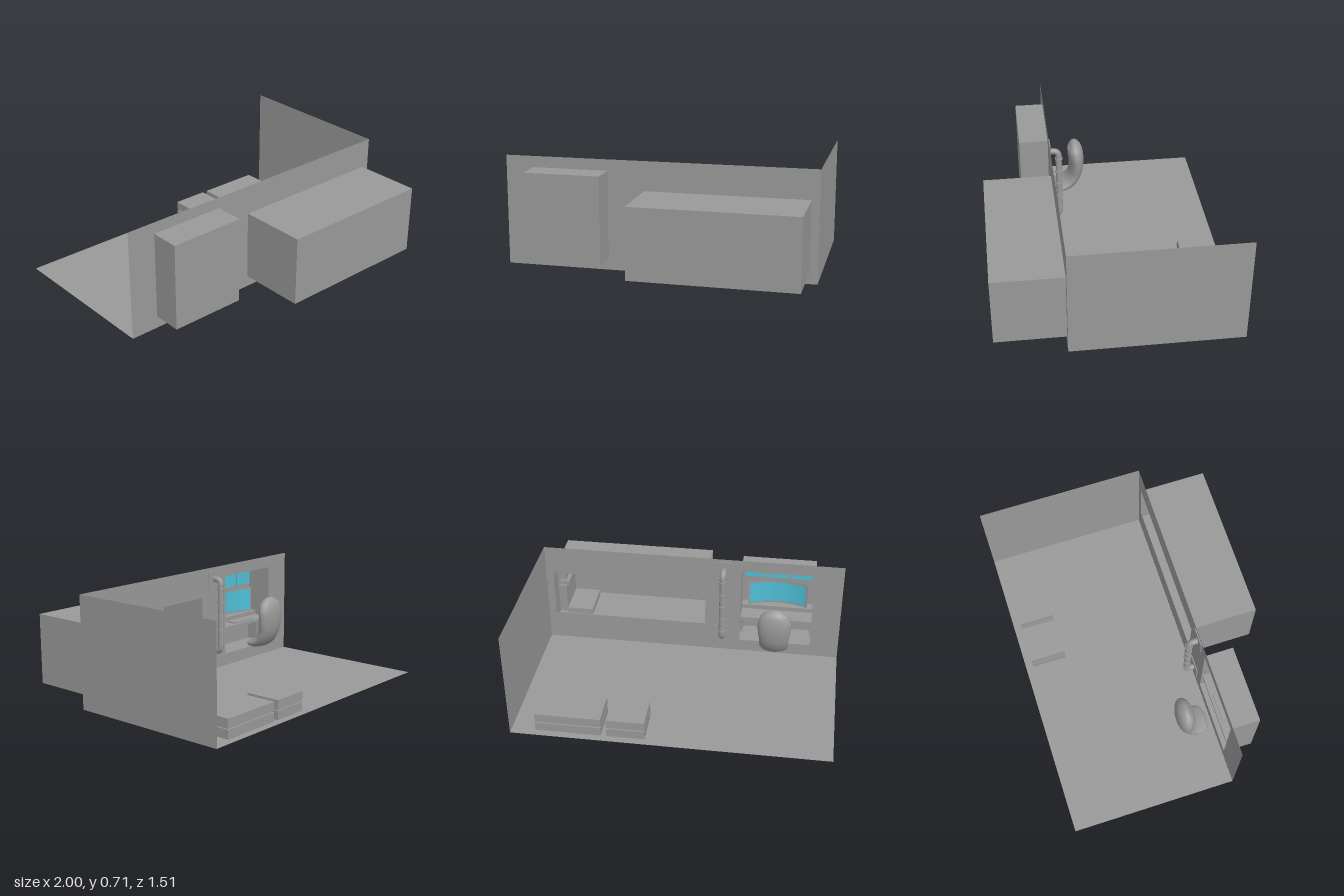
import * as THREE from 'three';

const grey = new THREE.MeshStandardMaterial({ color: 0x999999, side: THREE.DoubleSide });
grey.name = 'panel grey';
const cyan = new THREE.MeshStandardMaterial({ color: 0x4fc0d6, side: THREE.DoubleSide });
cyan.name = 'screen cyan';

export function createModel() {
  const root = new THREE.Group();
  root.name = 'cabin';

  const add = (name, geo, mat = grey, parent = root) => {
    const m = new THREE.Mesh(geo, mat);
    m.name = name;
    parent.add(m);
    return m;
  };
  const box = (name, x0, x1, y0, y1, z0, z1, mat = grey) =>
    add(name, new THREE.BoxGeometry(x1 - x0, y1 - y0, z1 - z0)
      .translate((x0 + x1) / 2, (y0 + y1) / 2, (z0 + z1) / 2), mat);
  const rect = (P, x0, x1, y0, y1) => {
    const p = new P();
    p.moveTo(x0, y0); p.lineTo(x1, y0); p.lineTo(x1, y1); p.lineTo(x0, y1); p.closePath();
    return p;
  };

  // Floor, side wall and front wall with two openings
  add('floor', new THREE.PlaneGeometry(2, 1.075).rotateX(-Math.PI / 2).translate(0, 0.002, -0.22));
  add('sideWall', new THREE.PlaneGeometry(1.075, 0.715).rotateY(-Math.PI / 2).translate(1, 0.3575, -0.22));
  const wall = rect(THREE.Shape, -1, 1, 0, 0.715);
  wall.holes.push(rect(THREE.Path, -0.09, 0.95, 0.2, 0.52), rect(THREE.Path, -0.81, -0.33, 0.085, 0.635));
  add('frontWall', new THREE.ShapeGeometry(wall).translate(0, 0, 0.318));

  // Alcoves: boxes open toward the room
  const alcove = (name, x0, x1, y0, y1, z0, z1) => {
    const g = new THREE.Group();
    g.name = name;
    root.add(g);
    const w = x1 - x0, h = y1 - y0, d = z1 - z0;
    const cx = (x0 + x1) / 2, cy = (y0 + y1) / 2, cz = (z0 + z1) / 2;
    add('alcoveBack', new THREE.PlaneGeometry(w, h).translate(cx, cy, z1), grey, g);
    for (const s of [-1, 1]) {
      add('alcoveSide', new THREE.PlaneGeometry(d, h).rotateY(s * Math.PI / 2)
        .translate(cx + s * w / 2, cy, cz), grey, g);
      add('alcoveCap', new THREE.PlaneGeometry(w, d).rotateX(-s * Math.PI / 2)
        .translate(cx, cy + s * h / 2, cz), grey, g);
    }
  };
  alcove('bedAlcove', -0.09, 0.95, 0.075, 0.525, 0.318, 0.755);
  alcove('deskAlcove', -0.815, -0.325, 0.08, 0.643, 0.318, 0.505);

  // Bed
  box('mattress', -0.085, 0.945, 0.08, 0.155, 0.325, 0.675);
  box('bedBackPanel', -0.085, 0.945, 0.08, 0.52, 0.675, 0.685);
  box('pillow', 0.71, 0.885, 0.155, 0.195, 0.39, 0.645);
  box('headboard', 0.89, 0.945, 0.155, 0.36, 0.41, 0.66);
  box('headShelf', 0.87, 0.945, 0.37, 0.4, 0.41, 0.66);
  box('headLocker', 0.89, 0.945, 0.41, 0.5, 0.41, 0.66);

  // Desk with keyboard and rear ledge
  box('deskTop', -0.81, -0.33, 0.25, 0.27, 0.325, 0.5);
  box('deskLedge', -0.81, -0.33, 0.27, 0.3, 0.44, 0.5);
  box('keyboard', -0.67, -0.47, 0.27, 0.279, 0.345, 0.42);
  for (const x of [-0.81, -0.34]) box('deskSupport', x, x + 0.01, 0.085, 0.25, 0.42, 0.5);

  // Curved main screen on a matching backing
  const R = 0.45, arc = 0.86;
  const curved = (r, h, a) => new THREE.CylinderGeometry(r, r, h, 24, 1, true, -a / 2, a)
    .translate(-0.57, 0.39, 0.488 - R);
  add('screenBacking', curved(R + 0.006, 0.18, arc + 0.05));
  add('mainScreen', curved(R, 0.15, arc), cyan);

  // Row of upper screens
  for (let i = -1; i <= 1; i++) {
    const x = -0.57 + i * 0.157;
    box('upperScreen', x - 0.07, x + 0.07, 0.5, 0.61, 0.488, 0.496, cyan);
  }

  // Seat: ellipses swept along a bent spine, [z, y, half width, half thickness]
  const spine = [
    [0.145, 0.465, 0.02, 0.012], [0.135, 0.455, 0.062, 0.035], [0.122, 0.425, 0.095, 0.05],
    [0.113, 0.37, 0.11, 0.053], [0.112, 0.3, 0.105, 0.05], [0.125, 0.23, 0.095, 0.047],
    [0.16, 0.175, 0.095, 0.045], [0.21, 0.148, 0.1, 0.036], [0.25, 0.142, 0.085, 0.026],
    [0.275, 0.142, 0.03, 0.01],
  ];
  const curve = new THREE.CatmullRomCurve3(spine.map(p => new THREE.Vector3(0, p[1], p[0])));
  const sizes = new THREE.CatmullRomCurve3(spine.map(p => new THREE.Vector3(p[2], p[3], 0)));
  const N = 36, S = 28, pos = [], idx = [];
  for (let i = 0; i <= N; i++) {
    const p = curve.getPoint(i / N), t = curve.getTangent(i / N), s = sizes.getPoint(i / N);
    const end = i === 0 || i === N ? 0 : 1;
    for (let j = 0; j < S; j++) {
      const a = j / S * Math.PI * 2, u = Math.sin(a) * s.y * end;
      pos.push(-0.57 + Math.cos(a) * s.x * end, p.y + t.z * u, p.z - t.y * u);
      if (i < N) {
        const k = i * S + j, l = i * S + (j + 1) % S;
        idx.push(k, l, k + S, l, l + S, k + S);
      }
    }
  }
  const seat = new THREE.BufferGeometry();
  seat.setAttribute('position', new THREE.Float32BufferAttribute(pos, 3));
  seat.setIndex(idx);
  seat.computeVertexNormals();
  add('seat', seat);

  // Grab rail with collars and mounting plates
  const V = (y, z) => new THREE.Vector3(-0.21, y, z);
  const rail = new THREE.CurvePath();
  rail.add(new THREE.LineCurve3(V(0.635, 0.315), V(0.635, 0.295)));
  rail.add(new THREE.QuadraticBezierCurve3(V(0.635, 0.295), V(0.635, 0.257), V(0.595, 0.257)));
  rail.add(new THREE.LineCurve3(V(0.595, 0.257), V(0.175, 0.257)));
  rail.add(new THREE.QuadraticBezierCurve3(V(0.175, 0.257), V(0.135, 0.257), V(0.135, 0.295)));
  rail.add(new THREE.LineCurve3(V(0.135, 0.295), V(0.135, 0.315)));
  add('grabRail', new THREE.TubeGeometry(rail, 80, 0.02, 14));
  for (let i = 0; i < 5; i++)
    add('railCollar', new THREE.CylinderGeometry(0.025, 0.025, 0.012, 16).translate(-0.21, 0.195 + i * 0.095, 0.257));
  for (const y of [0.135, 0.635]) box('railPlate', -0.27, -0.15, y - 0.06, y + 0.06, 0.31, 0.317);

  // Two low lockers, each a pair of stacked drawers
  for (const [x0, x1] of [[0.16, 0.4], [0.435, 0.85]]) {
    box('lockerBase', x0, x1, 0.002, 0.06, -0.71, -0.48);
    box('lockerCore', x0 + 0.01, x1 - 0.01, 0.06, 0.068, -0.7, -0.49);
    box('lockerTop', x0, x1, 0.068, 0.125, -0.71, -0.48);
  }
  return root;
}
